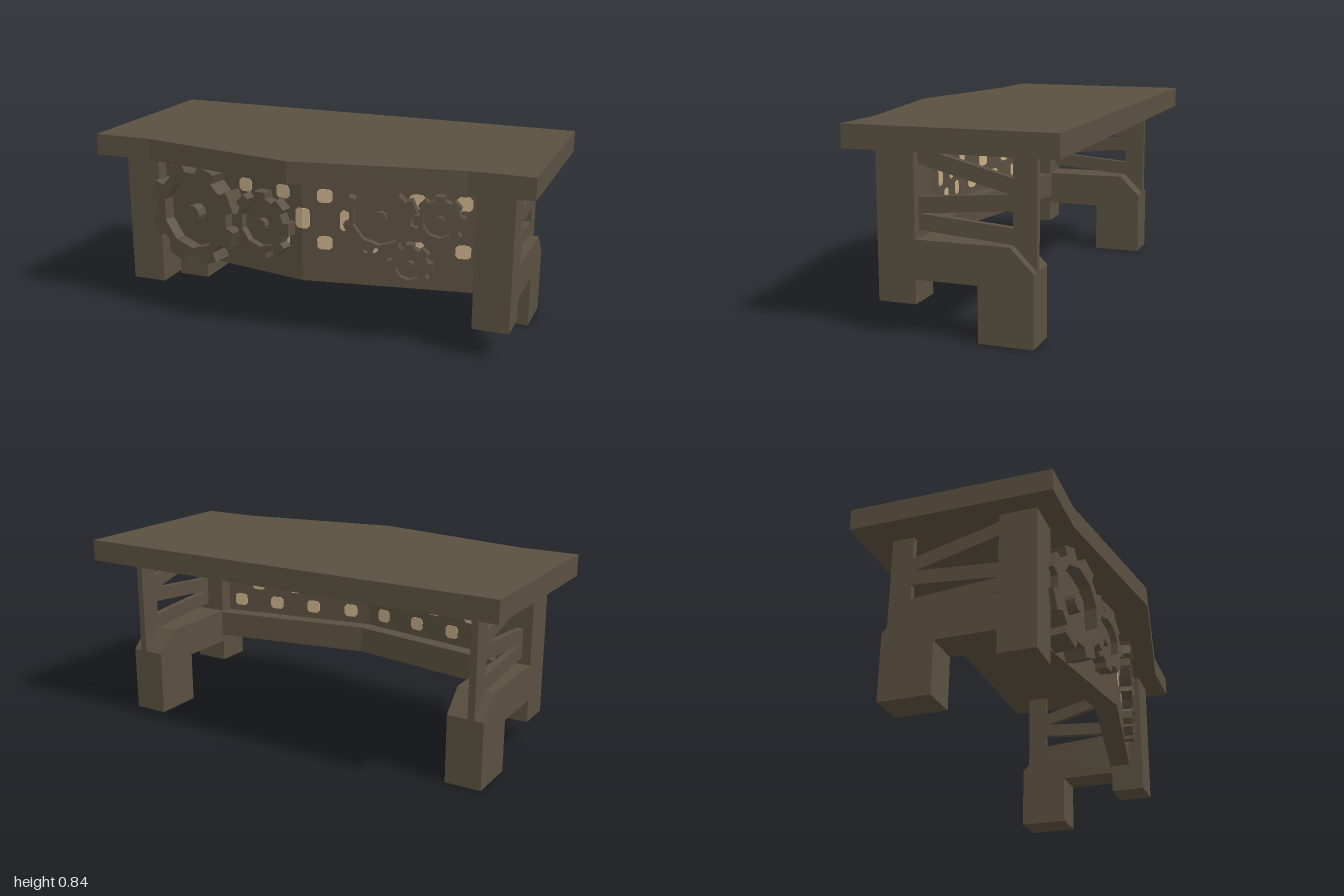
import * as THREE from 'three';

const wood = new THREE.MeshStandardMaterial({ color: 0x5a5040 });
wood.name = 'dark wood';
const tan = new THREE.MeshStandardMaterial({ color: 0xc6ad88 });
tan.name = 'tan pane';

const SLOPE = 0.178;               // the front apron recedes this much per unit of x
const ANGLE = Math.atan(SLOPE);
const APRON_Z = 0.34;              // apron ridge at the middle
const APRON_X = 0.75;
const PANEL_DEPTH = 0.03;

const shapeOf = (pts) => new THREE.Shape(pts.map(([x, y]) => new THREE.Vector2(x, y)));

function extrude(shape, depth) {
  return new THREE.ExtrudeGeometry(shape, { depth, bevelEnabled: false, curveSegments: 3 });
}

function addMesh(parent, name, geometry, material = wood) {
  const mesh = new THREE.Mesh(geometry, material);
  mesh.name = name;
  parent.add(mesh);
  return mesh;
}

// Upright prism from an [x, z] plan
function planPrism(plan, y0, y1) {
  return extrude(shapeOf(plan.map(([x, z]) => [x, -z])), y1 - y0)
    .rotateX(-Math.PI / 2).translate(0, y0, 0);
}

// Prism from a [z, y] side profile, spanning x0 to x1
function sidePrism(profile, x0, x1) {
  return extrude(shapeOf(profile.map(([z, y]) => [-z, y])), x1 - x0)
    .rotateY(Math.PI / 2).translate(x0, 0, 0);
}

// V-shaped wall that follows the apron
function chevron(depth, y0, y1) {
  const end = APRON_Z - SLOPE * APRON_X;
  return planPrism([
    [-APRON_X, end], [0, APRON_Z], [APRON_X, end],
    [APRON_X, end - depth], [0, APRON_Z - depth], [-APRON_X, end - depth],
  ], y0, y1);
}

function polygon(radius, sides, turn = 0) {
  return Array.from({ length: sides }, (_, i) => {
    const a = (i / sides) * Math.PI * 2 + turn;
    return [Math.cos(a) * radius, Math.sin(a) * radius];
  });
}

// Toothed ring with a recessed floor and a hub
function makeGear({ r, hole, hub, thick, turn }) {
  const gear = new THREE.Group();
  const outline = [];
  const root = r * 0.82;
  for (let i = 0; i < 8; i++) {
    const mid = (i / 8) * Math.PI * 2 + turn;
    for (const [da, rad] of [[-0.24, root], [-0.19, r], [0.19, r], [0.24, root]]) {
      outline.push([Math.cos(mid + da) * rad, Math.sin(mid + da) * rad]);
    }
  }
  const ring = shapeOf(outline);
  ring.holes.push(shapeOf(polygon(hole, 10, Math.PI / 10)));
  addMesh(gear, 'toothedRing', extrude(ring, thick));
  addMesh(gear, 'gearFloor', extrude(shapeOf(polygon(hole * 1.02, 10, Math.PI / 10)), thick * 0.4));
  addMesh(gear, 'gearHub', extrude(shapeOf(polygon(hub, 10)), thick * 0.95));
  return gear;
}

// Rounded pane from u0 to u1, centred on height y
function paneShape(u0, u1, y, h) {
  const c = 0.012, b = y - h / 2, t = y + h / 2;
  // the half panes on the ridge keep a square inner edge
  const cl = u0 === 0 ? 0 : c, cr = u1 === 0 ? 0 : c;
  return shapeOf([
    [u0 + cl, b], [u1 - cr, b], [u1, b + cr], [u1, t - cr],
    [u1 - cr, t], [u0 + cl, t], [u0, t - cl], [u0, b + cl],
  ].filter((p, i, all) => i === 0 || p[0] !== all[i - 1][0] || p[1] !== all[i - 1][1])
    .filter((p, i, all) => i === 0 || p[0] !== all[0][0] || p[1] !== all[0][1]));
}

export function createModel() {
  const model = new THREE.Group();
  model.name = 'table';

  // Top with a pointed front edge
  addMesh(model, 'tableTop', planPrism([
    [-1, -0.5], [1, -0.5], [1, 0.37], [0.73, 0.37], [0, 0.5], [-0.73, 0.37], [-1, 0.37],
  ], 0.745, 0.84));

  // Apron panel and the thicker rail along its bottom
  addMesh(model, 'apronPanel', chevron(PANEL_DEPTH, 0.385, 0.745));
  addMesh(model, 'apronRail', chevron(0.1, 0.265, 0.385));

  // Leg frames, each with a thin rear post and three braces
  const legProfile = [
    [0.115, 0.745], [0.275, 0.745], [0.275, 0.13], [0.115, 0.13], [0.115, 0.23], [-0.145, 0.23],
    [-0.145, 0], [-0.37, 0], [-0.37, 0.295], [-0.275, 0.39], [0.115, 0.39],
  ];
  const braces = [[0.745, 0.645], [0.55, 0.585], [0.485, 0.455]];
  for (const side of [-1, 1]) {
    const frame = new THREE.Group();
    frame.name = side > 0 ? 'leftLegFrame' : 'rightLegFrame';
    frame.position.x = side * 0.825;
    addMesh(frame, 'leg', sidePrism(legProfile, -0.08, 0.08));
    const inner = side * 0.025 - 0.015, outer = inner + 0.03;
    addMesh(frame, 'rearPost', sidePrism(
      [[-0.275, 0.39], [-0.275, 0.745], [-0.37, 0.745], [-0.37, 0.295]], inner, outer));
    for (const [front, back] of braces) {
      addMesh(frame, 'brace', sidePrism(
        [[0.115, front], [0.115, front - 0.065], [-0.275, back - 0.065], [-0.275, back]], inner, outer));
    }
    model.add(frame);
  }

  // Gears by their x and y on the apron
  const gears = [
    { x: -0.53, y: 0.5, r: 0.24, hole: 0.16, hub: 0.042, thick: 0.095, turn: Math.PI / 8 },
    { x: -0.185, y: 0.5, r: 0.153, hole: 0.1, hub: 0.028, thick: 0.055, turn: 0 },
    { x: 0.34, y: 0.585, r: 0.16, hole: 0.118, hub: 0.028, thick: 0.055, turn: Math.PI / 8 },
    { x: 0.585, y: 0.585, r: 0.11, hole: 0.072, hub: 0.02, thick: 0.045, turn: 0 },
    { x: 0.465, y: 0.38, r: 0.098, hole: 0.062, hub: 0.02, thick: 0.045, turn: 0 },
  ];

  // Each half of the apron carries its panes and gears in its own plane
  for (const side of [-1, 1]) {
    const half = new THREE.Group();
    half.name = side > 0 ? 'leftApronHalf' : 'rightApronHalf';
    half.position.z = APRON_Z;
    half.rotation.y = side * ANGLE;
    const stretch = 1 / Math.cos(ANGLE);
    const back = -PANEL_DEPTH / stretch;

    const addPane = (u0, u1, y, h) => {
      const shape = side > 0 ? paneShape(u0, u1, y, h) : paneShape(-u1, u0 === 0 ? 0 : -u0, y, h);
      addMesh(half, 'frontPane', extrude(shape, 0.004).translate(0, 0, -0.001), tan);
      addMesh(half, 'backPane', extrude(shape, 0.004).translate(0, 0, back - 0.003), tan);
    };
    for (let i = 0; i < 4; i++) {
      const outerU = (0.0975 + i * 0.195) * stretch;
      addPane(outerU - 0.033, outerU + 0.033, 0.655, 0.06);
      addPane(outerU - 0.033, outerU + 0.033, 0.445, 0.06);
      const u = i * 0.195 * stretch;
      addPane(Math.max(0, u - 0.033), u + 0.033, 0.55, 0.09);
    }

    for (const spec of gears.filter((g) => Math.sign(g.x) === side)) {
      const gear = makeGear(spec);
      gear.name = 'gear';
      gear.position.set(spec.x * stretch, spec.y, 0);
      half.add(gear);
    }
    model.add(half);
  }
  return model;
}
